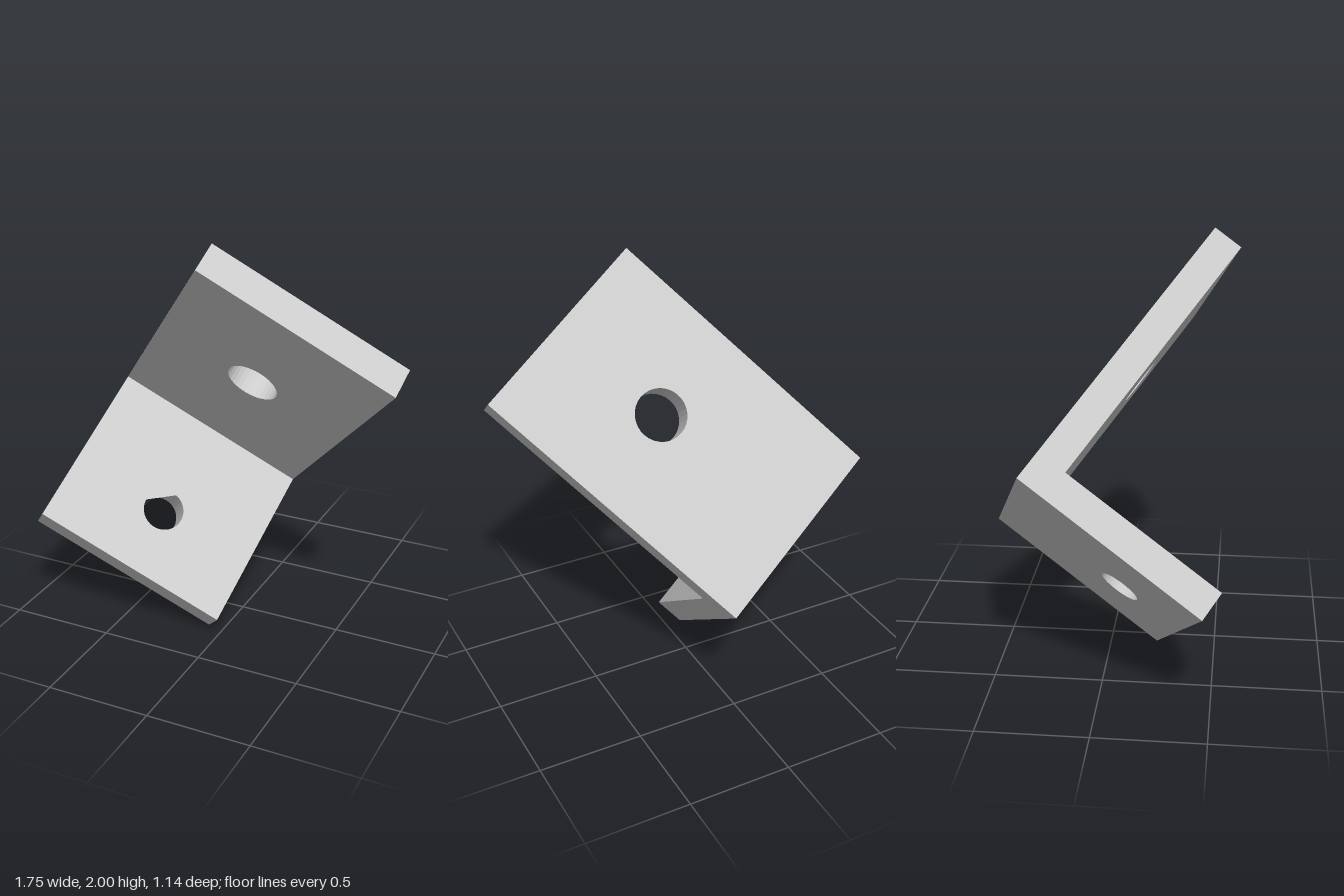
import * as THREE from 'three';

const WIDTH = 0.978, THICK = 0.147;

// Drilled plate rising along +y from the bend, its inner side mitred at 45 degrees.
function mitredPlate(length, holeY, holeR) {
  const h = WIDTH / 2;
  const shape = new THREE.Shape([
    new THREE.Vector2(-h, 0), new THREE.Vector2(h, 0),
    new THREE.Vector2(h, length), new THREE.Vector2(-h, length),
  ]);
  const hole = new THREE.Path();
  hole.absarc(0, holeY, holeR, 0, Math.PI * 2, true);
  shape.holes.push(hole);
  const solid = new THREE.ExtrudeGeometry(shape, { depth: THICK, bevelEnabled: false, curveSegments: 16 });

  // slide the inner bottom edge up to the inside corner of the bend
  const p = solid.attributes.position;
  for (let i = 0; i < p.count; i++) {
    if (p.getY(i) < 1e-6 && p.getZ(i) > THICK - 1e-6) p.setY(i, THICK);
  }

  // leave out the hidden mitre face so that both plates join as one solid
  const kept = [];
  const onMitre = (i) => Math.abs(p.getY(i) - p.getZ(i)) < 1e-5;
  for (let i = 0; i < p.count; i += 3) {
    if (onMitre(i) && onMitre(i + 1) && onMitre(i + 2)) continue;
    for (let k = i; k < i + 3; k++) kept.push(p.getX(k), p.getY(k), p.getZ(k));
  }
  const geometry = new THREE.BufferGeometry();
  geometry.setAttribute('position', new THREE.Float32BufferAttribute(kept, 3));
  geometry.computeVertexNormals();
  return geometry;
}

export function createModel() {
  const material = new THREE.MeshStandardMaterial({ color: 0xcccccc, flatShading: true });
  const bracket = new THREE.Group();
  bracket.name = 'angleBracket';

  const longPlate = new THREE.Mesh(mitredPlate(1.47, 0.855, 0.124), material);
  longPlate.name = 'longPlate';

  // half a turn about the mitre line swaps the y and z directions
  const shortPlate = new THREE.Mesh(mitredPlate(0.978, 0.645, 0.099), material);
  shortPlate.name = 'shortPlate';
  shortPlate.quaternion.setFromAxisAngle(new THREE.Vector3(0, 1, 1).normalize(), Math.PI);

  bracket.add(longPlate, shortPlate);

  // tilt the bracket: x along the bend, y along the long plate, z along the short one
  const bend = new THREE.Vector3(0.817, -0.522, -0.246).normalize();
  const short = new THREE.Vector3().crossVectors(bend, new THREE.Vector3(0.566, 0.63, 0.532)).normalize();
  const long = new THREE.Vector3().crossVectors(short, bend);
  bracket.quaternion.setFromRotationMatrix(new THREE.Matrix4().makeBasis(bend, long, short));
  bracket.position.set(-0.36, 0.819, -0.45);

  const model = new THREE.Group();
  model.name = 'model';
  model.add(bracket);
  return model;
}
